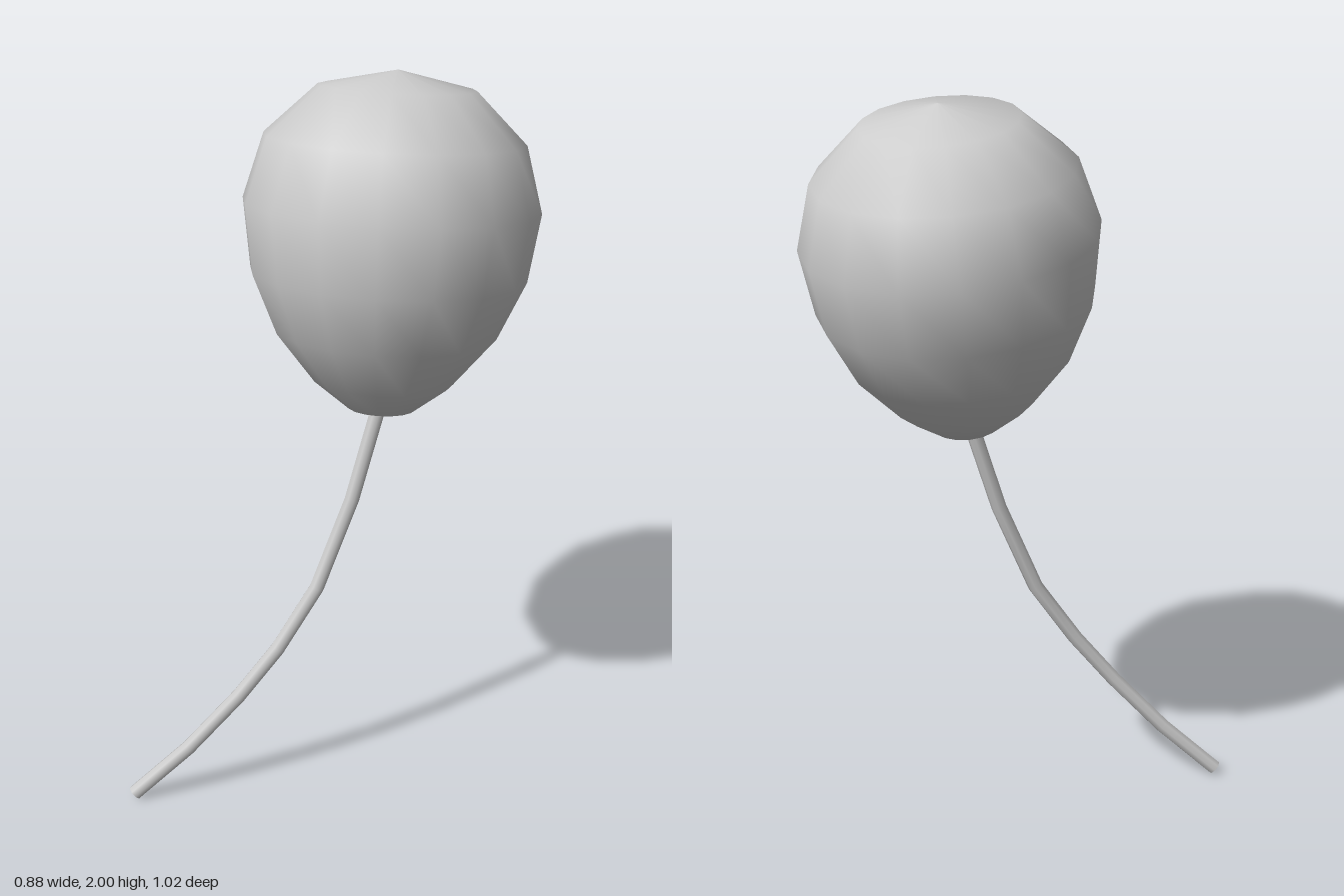
import * as THREE from 'three';

const material = new THREE.MeshStandardMaterial({ color: 0xcccccc });
const UP = new THREE.Vector3(0, 1, 0);

function addMesh(parent, name, geometry) {
  const mesh = new THREE.Mesh(geometry, material);
  mesh.name = name;
  parent.add(mesh);
  return mesh;
}

export function createModel() {
  const group = new THREE.Group();
  group.name = 'balloon';

  // Balloon body: pear-shaped profile (radius, height) turned in 16 sides, leaning back
  const profile = [
    [0, 0], [0.09, 0.022], [0.19, 0.1], [0.298, 0.231], [0.368, 0.388],
    [0.394, 0.571], [0.344, 0.745], [0.207, 0.876], [0, 0.921],
  ].map(([r, h]) => new THREE.Vector2(r, h));
  const bodyGeometry = new THREE.LatheGeometry(profile, 16);
  bodyGeometry.rotateY(THREE.MathUtils.degToRad(2));
  const body = addMesh(group, 'balloonBody', bodyGeometry);
  const axis = new THREE.Vector3(-0.035, 1, -0.15).normalize();
  body.quaternion.setFromUnitVectors(UP, axis);
  body.position.set(0.065, 1.09, -0.04);

  // String: thin tube with one ring at each path point
  const path = [
    [0.062, 1.11, -0.03], [0.02, 0.86, 0.037], [-0.042, 0.61, 0.123], [-0.115, 0.44, 0.215],
    [-0.195, 0.305, 0.295], [-0.305, 0.152, 0.392], [-0.427, 0.016, 0.492],
  ].map((p) => new THREE.Vector3(...p));
  const curve = new THREE.CatmullRomCurve3(path);
  curve.getPointAt = curve.getPoint;
  curve.getTangentAt = curve.getTangent;
  const radius = 0.021;
  addMesh(group, 'string', new THREE.TubeGeometry(curve, path.length - 1, radius, 8));

  // Cap closing the loose end of the string
  const cap = addMesh(group, 'stringEnd', new THREE.CircleGeometry(radius, 8));
  cap.position.copy(path.at(-1));
  cap.quaternion.setFromUnitVectors(new THREE.Vector3(0, 0, 1), curve.getTangent(1));

  return group;
}
